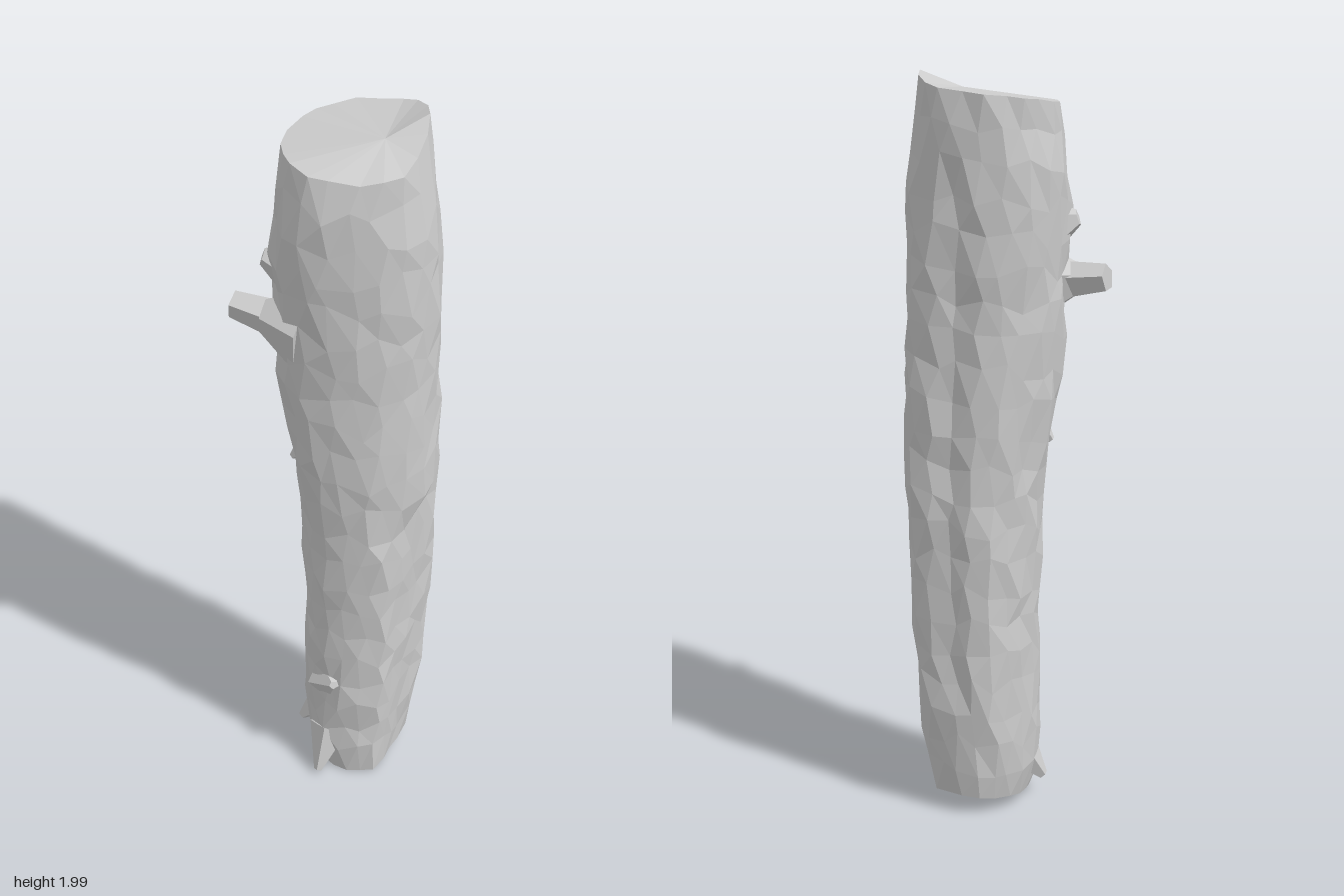
import * as THREE from 'three';

const SIDES = 20;
const ROWS = 22;

// Trunk outline: height, min x, max x, min z (back), max z (front)
const OUTLINE = [
  [0.03, -0.065, 0.195, -0.14, 0.16],
  [0.10, -0.09, 0.21, -0.155, 0.165],
  [0.25, -0.095, 0.233, -0.172, 0.17],
  [0.60, -0.092, 0.255, -0.175, 0.175],
  [0.90, -0.10, 0.265, -0.175, 0.175],
  [1.20, -0.14, 0.262, -0.175, 0.178],
  [1.30, -0.158, 0.258, -0.175, 0.178],
  [1.40, -0.15, 0.26, -0.175, 0.18],
  [1.65, -0.168, 0.256, -0.183, 0.187],
  [1.80, -0.158, 0.238, -0.187, 0.183],
  [1.95, -0.125, 0.215, -0.187, 0.155],
];

// Rim heights of the broken top, every 45 degrees from +x towards +z
const RIM = [2.0, 1.91, 1.895, 1.91, 1.92, 1.935, 1.95, 1.968];

function seeded(seed) {
  return () => {
    seed = (seed * 16807) % 2147483647;
    return (seed / 2147483647) * 2 - 1;
  };
}

function outlineAt(y) {
  let i = 0;
  while (i < OUTLINE.length - 2 && y > OUTLINE[i + 1][0]) i++;
  const a = OUTLINE[i], b = OUTLINE[i + 1];
  const t = THREE.MathUtils.clamp((y - a[0]) / (b[0] - a[0]), 0, 1);
  return a.map((v, k) => v + (b[k] - v) * t);
}

function rimAt(a) {
  const s = THREE.MathUtils.euclideanModulo(a / (Math.PI / 4), 8);
  const i = Math.floor(s);
  return THREE.MathUtils.lerp(RIM[i % 8], RIM[(i + 1) % 8], s - i);
}

// Smooth bulge around one direction
function bulge(a, centre, width) {
  const d = Math.atan2(Math.sin(a - centre), Math.cos(a - centre));
  return Math.exp(-((d / width) ** 2));
}

// Relative trunk radius: uneven roundness, back ridge and groove, split-off side
function barkRadius(a, y) {
  let r = 1 + 0.07 * bulge(a, 5.65, 0.3) + 0.05 * bulge(a, 2.3, 0.4) - 0.04 * bulge(a, 3.9, 0.4);
  if (y > 0.35 && y < 1.75) r -= 0.12 * bulge(a, 5.1, 0.2);
  if (y > 0.93) return r + 0.04 * bulge(a, 0.8, 0.35);
  const facing = Math.cos(a - 0.65);
  return facing > 0.5 ? Math.min(r + 0.03 * bulge(a, 1.35, 0.2), 0.84 / facing) : r;
}

// Flat-shaded geometry from points and triangle indices
function faceted(points, index) {
  const geo = new THREE.BufferGeometry();
  geo.setAttribute('position', new THREE.Float32BufferAttribute(points, 3));
  geo.setIndex(index);
  const flat = geo.toNonIndexed();
  flat.computeVertexNormals();
  return flat;
}

// Rough bark: jittered, lightly staggered rings between two slanted ends
function trunkRings() {
  const rand = seeded(4711);
  const rings = [];
  for (let i = 0; i <= ROWS; i++) {
    const t = i / ROWS;
    const end = i === 0 || i === ROWS;
    const ring = [];
    for (let j = 0; j < SIDES; j++) {
      const a = ((j + (i % 2) * 0.25 + rand() * 0.2) / SIDES) * Math.PI * 2;
      const low = 0.032 + 0.01 * Math.cos(a) - 0.025 * Math.sin(a);
      const y = low + (rimAt(a) - low) * t + rand() * (end ? 0.003 : 0.025);
      const [, x0, x1, z0, z1] = outlineAt(y);
      const r = barkRadius(a, y) + rand() * 0.035;
      ring.push([
        (x0 + x1) / 2 + ((x1 - x0) / 2) * r * Math.cos(a),
        y,
        (z0 + z1) / 2 + ((z1 - z0) / 2) * r * Math.sin(a),
      ]);
    }
    rings.push(ring);
  }
  return rings;
}

function barkGeometry(rings) {
  const index = [];
  for (let i = 0; i < ROWS; i++) {
    for (let j = 0; j < SIDES; j++) {
      const k = (j + 1) % SIDES;
      const a = i * SIDES + j, b = i * SIDES + k;
      const c = a + SIDES, d = b + SIDES;
      // diagonals follow the stagger of the rows
      if (i % 2) index.push(a, d, b, a, c, d);
      else index.push(a, c, b, b, c, d);
    }
  }
  return faceted(rings.flat(2), index);
}

// End face: fan from a middle point
function capGeometry(ring, middle, up) {
  const index = [];
  for (let j = 0; j < SIDES; j++) {
    const k = (j + 1) % SIDES;
    index.push(...(up ? [j, SIDES, k] : [k, SIDES, j]));
  }
  return faceted([...ring.flat(), ...middle], index);
}

// Tapered five-sided stub between two points
function stub(name, from, to, r0, r1, material) {
  const a = new THREE.Vector3(...from), b = new THREE.Vector3(...to);
  const dir = b.clone().sub(a);
  const mesh = new THREE.Mesh(new THREE.CylinderGeometry(r1, r0, dir.length(), 5), material);
  mesh.position.copy(a).lerp(b, 0.5);
  mesh.quaternion.setFromUnitVectors(new THREE.Vector3(0, 1, 0), dir.normalize());
  mesh.name = name;
  return mesh;
}

export function createModel() {
  const group = new THREE.Group();
  group.name = 'log';
  const material = new THREE.MeshStandardMaterial({ color: 0xcccccc, flatShading: true });
  const add = (name, geo) => {
    const mesh = new THREE.Mesh(geo, material);
    mesh.name = name;
    group.add(mesh);
  };

  const rings = trunkRings();
  add('bark', barkGeometry(rings));
  add('topBreak', capGeometry(rings[ROWS], [0.11, 1.95, 0.03], true));
  add('bottomCut', capGeometry(rings[0], [0.06, 0.035, 0], false));

  // Broken branch with its flared root, knots and bark splinters
  group.add(
    stub('branch', [-0.12, 1.455, 0.04], [-0.262, 1.475, -0.015], 0.055, 0.037, material),
    stub('branchRoot', [-0.08, 1.45, 0.05], [-0.185, 1.465, 0.02], 0.115, 0.045, material),
    stub('upperKnot', [-0.11, 1.6, 0.015], [-0.185, 1.625, 0.01], 0.075, 0.022, material),
    stub('middleKnot', [-0.07, 1.08, 0.02], [-0.12, 1.03, 0.02], 0.045, 0.01, material),
    stub('lowerSplinter', [-0.05, 0.13, -0.01], [-0.105, 0.065, -0.01], 0.05, 0.014, material),
    stub('frontSplinter', [-0.02, 0.13, 0.1], [-0.055, 0.016, 0.165], 0.06, 0.012, material),
    stub('frontKnot', [-0.02, 0.32, 0.1], [-0.01, 0.35, 0.168], 0.065, 0.012, material),
  );
  return group;
}
